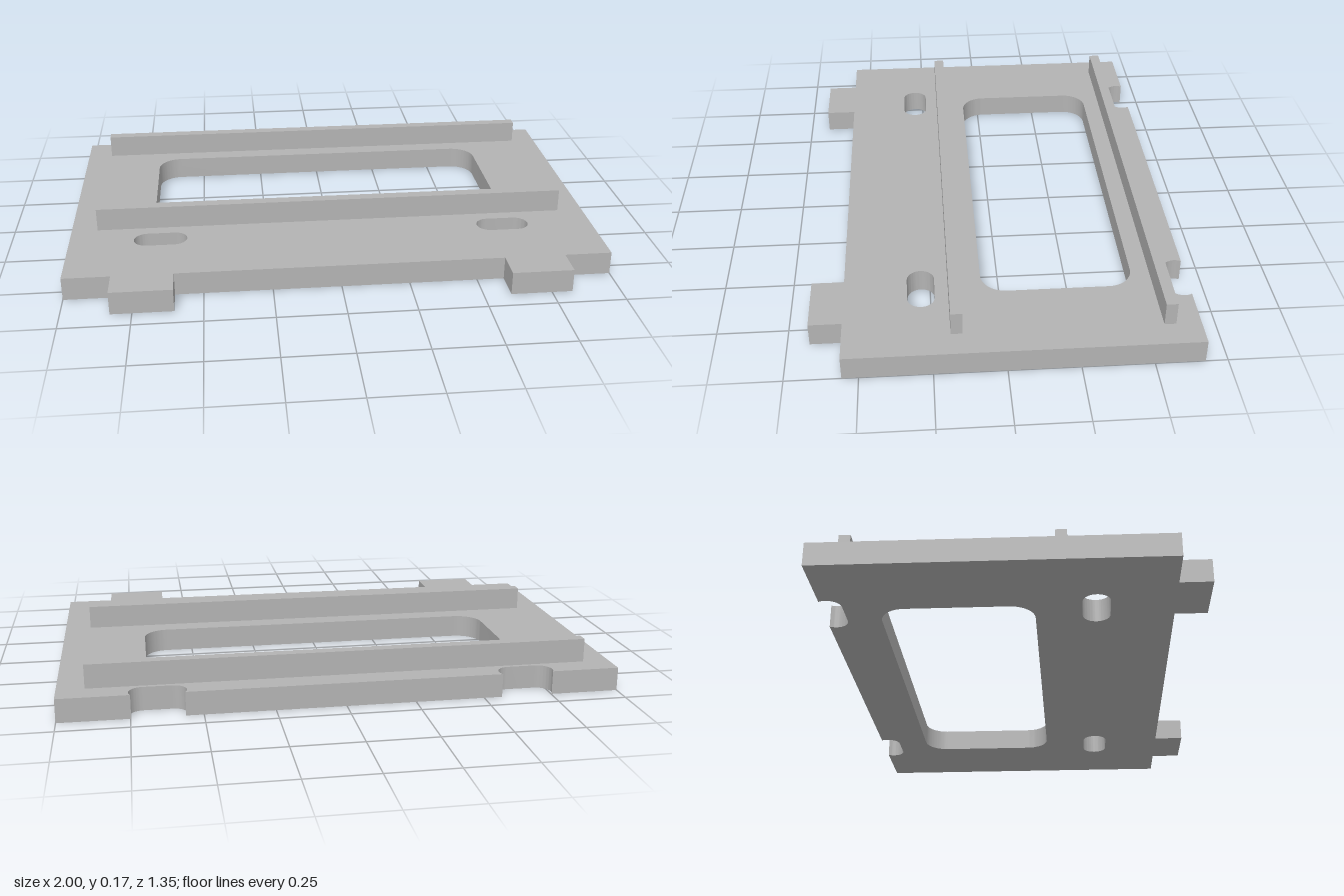
import * as THREE from 'three';
import { toCreasedNormals } from 'three/addons/utils/BufferGeometryUtils.js';

const PLATE_H = 0.086, BACK = 0.673, FRONT = -0.557; // outline is drawn in x and -z
const SLOT_R = 0.049, SLOT_HALF = 0.051;
const SLOT_X = [0.655, -0.659];

// Rounded rectangular hole; a slot is the case where the radius is half the height
function roundedHole(cx, cy, hw, hh, r) {
  const p = new THREE.Path();
  p.absarc(cx + hw - r, cy + hh - r, r, 0, Math.PI / 2);
  p.absarc(cx - hw + r, cy + hh - r, r, Math.PI / 2, Math.PI);
  p.absarc(cx - hw + r, cy - hh + r, r, Math.PI, Math.PI * 1.5);
  p.absarc(cx + hw - r, cy - hh + r, r, Math.PI * 1.5, Math.PI * 2);
  p.closePath();
  return p;
}

function plateGeometry() {
  const s = new THREE.Shape();
  // Front edge with two square tabs
  s.moveTo(-1, FRONT);
  for (const [a, b] of [[-0.827, -0.603], [0.6, 0.825]]) {
    s.lineTo(a, FRONT);
    s.lineTo(a, -BACK);
    s.lineTo(b, -BACK);
    s.lineTo(b, FRONT);
  }
  s.lineTo(1, FRONT);
  s.lineTo(1, BACK);
  // Back edge with two slots cut open by the edge
  const cy = 0.648, open = Math.asin((BACK - cy) / SLOT_R);
  for (const cx of SLOT_X) {
    s.absarc(cx + SLOT_HALF, cy, SLOT_R, open, -Math.PI / 2, true);
    s.absarc(cx - SLOT_HALF, cy, SLOT_R, -Math.PI / 2, -Math.PI - open, true);
  }
  s.lineTo(-1, BACK);
  s.closePath();

  // Large window and the two closed slots
  s.holes.push(roundedHole(0, 0.204, 0.687, 0.273, 0.09));
  for (const cx of SLOT_X) {
    s.holes.push(roundedHole(cx, -0.284, SLOT_HALF + SLOT_R, SLOT_R, SLOT_R));
  }
  const g = new THREE.ExtrudeGeometry(s, { depth: PLATE_H, bevelEnabled: false, curveSegments: 12 });
  g.rotateX(-Math.PI / 2);
  return toCreasedNormals(g, 0.6);
}

export function createModel() {
  const model = new THREE.Group();
  model.name = 'mountingPlate';
  const grey = new THREE.MeshStandardMaterial({ color: 0xb3b3b3 });
  grey.name = 'grey';

  const plate = new THREE.Mesh(plateGeometry(), grey);
  plate.name = 'basePlate';
  model.add(plate);

  // Two upright rails in front of and behind the window
  const railH = 0.087;
  for (const [name, z] of [['frontRail', 0.167], ['backRail', -0.564]]) {
    const rail = new THREE.Mesh(new THREE.BoxGeometry(1.804, railH, 0.041), grey);
    rail.name = name;
    rail.position.set(0, PLATE_H + railH / 2, z);
    model.add(rail);
  }
  return model;
}
